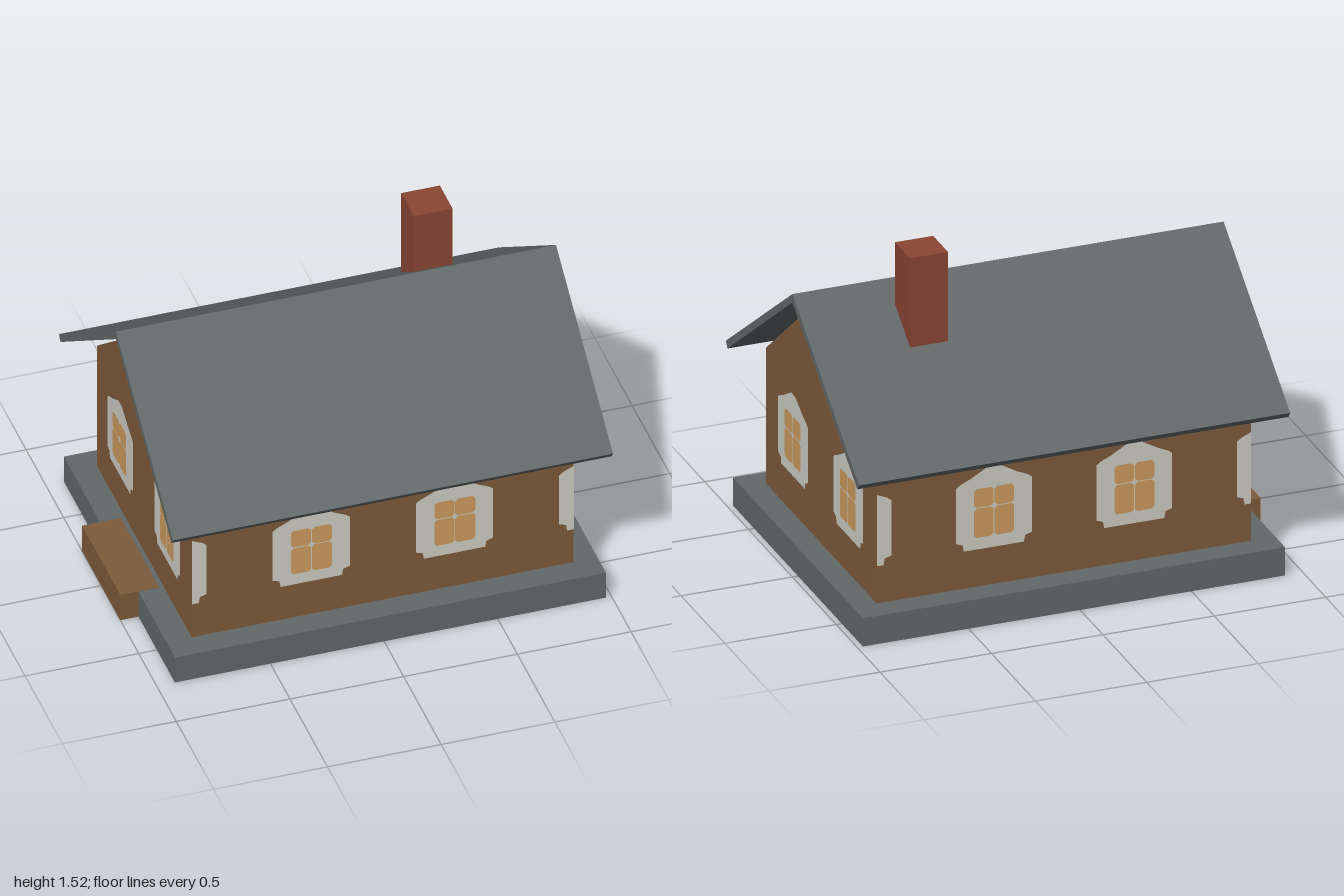
import * as THREE from 'three';

const mat = (name, color, side = THREE.FrontSide) => {
  const m = new THREE.MeshStandardMaterial({ color, side });
  m.name = name;
  return m;
};

export function createModel() {
  const grey = mat('slateGrey', 0x636969, THREE.DoubleSide);
  const brown = mat('woodBrown', 0x7f5c3b, THREE.DoubleSide);
  const brick = mat('brickRed', 0x8b4635);
  const white = mat('frameWhite', 0xcfcec6);
  const amber = mat('windowAmber', 0xcf9b5e);

  const model = new THREE.Group();
  model.name = 'cottage';

  const add = (parent, name, geometry, material) => {
    const mesh = new THREE.Mesh(geometry, material);
    mesh.name = name;
    parent.add(mesh);
    return mesh;
  };

  // Box between two corners, optionally without its underside
  const box = (x0, x1, y0, y1, z0, z1, openBottom = false) => {
    const g = new THREE.BoxGeometry(x1 - x0, y1 - y0, z1 - z0);
    g.translate((x0 + x1) / 2, (y0 + y1) / 2, (z0 + z1) / 2);
    if (openBottom) {
      const index = Array.from(g.index.array);
      index.splice(18, 6);
      g.setIndex(index);
      g.clearGroups();
    }
    return g;
  };

  const toShape = (points) => new THREE.Shape(points.map(([x, y]) => new THREE.Vector2(x, y)));

  // Extrude a gable profile (z, y) along x
  const prism = (points, x0, x1) => {
    const g = new THREE.ExtrudeGeometry(toShape(points), { depth: x1 - x0, bevelEnabled: false });
    g.rotateY(Math.PI / 2);
    g.translate(x0, 0, 0);
    return g;
  };

  // Hollow foundation and entrance step
  add(model, 'foundation', box(-0.92, 0.975, 0, 0.13, -0.74, 0.74, true), grey);
  add(model, 'entranceStep', box(-1, -0.83, 0, 0.132, -0.255, 0.255, true), brown);

  // House body with its gables
  add(model, 'walls', prism(
    [[-0.63, 0.132], [0.63, 0.132], [0.63, 0.76], [0, 1.27], [-0.63, 0.76]], -0.81, 0.87), brown);

  // Folded roof with square-cut eaves
  add(model, 'roof', prism(
    [[0, 1.307], [-0.76, 0.757], [-0.74, 0.73], [0, 1.268], [0.74, 0.73], [0.76, 0.757]], -0.935, 1), grey);

  add(model, 'chimney', box(0.41, 0.58, 1.05, 1.52, -0.275, -0.105), brick);

  // Right half of the carved window surround
  const half = [[0.135, 0.305], [0.14, 0.335], [0.17, 0.345], [0.17, 0.6],
    [0.15, 0.615], [0.105, 0.635], [0.035, 0.675], [0.02, 0.682]];
  const mirror = (points) => points.map(([x, y]) => [-x, y]).reverse();
  const frameShape = toShape([...half, ...mirror(half)]);

  // Strip of a surround cut off by the wall corner
  const strip = [[0.105, 0.305], ...half.filter(([x]) => x >= 0.105)];
  const stripShapes = { 1: toShape(mirror(strip)), '-1': toShape(strip) };

  // Pane with clipped corners
  const pane = (x0, x1, y0, y1, c = 0.012) => toShape([
    [x0 + c, y0], [x1 - c, y0], [x1, y0 + c], [x1, y1 - c],
    [x1 - c, y1], [x0 + c, y1], [x0, y1 - c], [x0, y0 + c]]);
  const paneShapes = [];
  for (const [y0, y1] of [[0.36, 0.495], [0.499, 0.585]]) {
    paneShapes.push(pane(-0.09, -0.002, y0, y1), pane(0.002, 0.09, y0, y1));
  }

  const makeWindow = (x) => {
    const g = new THREE.Group();
    g.name = 'window';
    add(g, 'windowFrame', new THREE.ShapeGeometry(frameShape), white).position.z = 0.003;
    add(g, 'windowPanes', new THREE.ShapeGeometry(paneShapes), amber).position.z = 0.006;
    g.position.x = x;
    return g;
  };

  // Two windows per wall; the long walls also carry strips at their corners
  const sides = [['front', 0, 0.63], ['right', 1, 0.84], ['back', 2, 0.63], ['left', 3, 0.84]];
  for (const [name, turn, distance] of sides) {
    const wall = new THREE.Group();
    wall.name = `${name}Windows`;
    const angle = turn * Math.PI / 2;
    wall.rotation.y = angle;
    wall.position.set(0.03 + Math.sin(angle) * distance, 0, Math.cos(angle) * distance);
    for (const s of [-1, 1]) {
      wall.add(makeWindow(s * 0.315));
      if (turn % 2 === 0) {
        add(wall, 'cornerFrameStrip', new THREE.ShapeGeometry(stripShapes[s]), white)
          .position.set(s * 0.945, 0, 0.003);
      }
    }
    model.add(wall);
  }

  return model;
}
